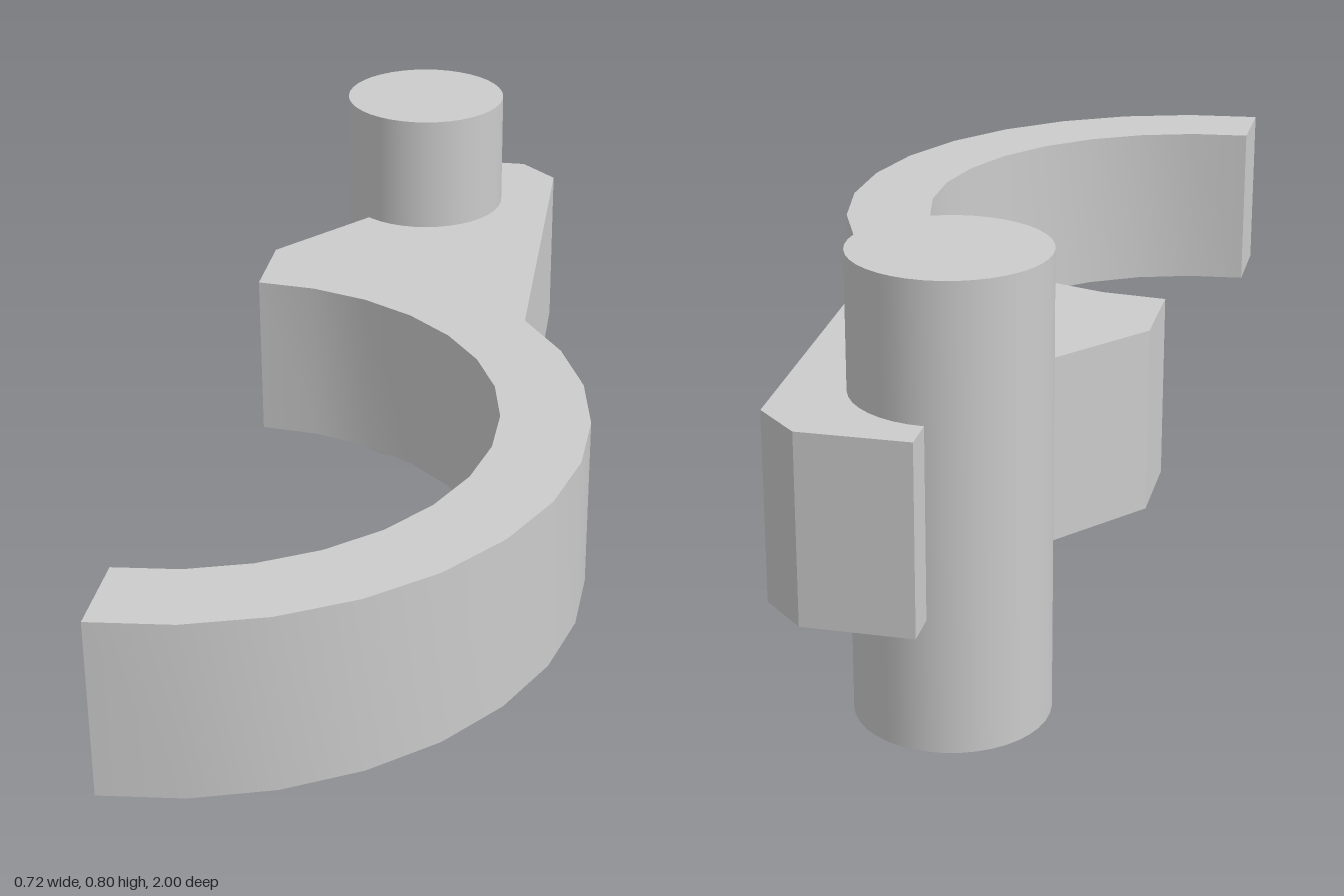
import * as THREE from 'three';
import { toCreasedNormals } from 'three/addons/utils/BufferGeometryUtils.js';

export function createModel() {
  const group = new THREE.Group();
  const material = new THREE.MeshStandardMaterial({ color: 0xcccccc });
  const add = (name, geometry) => {
    const mesh = new THREE.Mesh(geometry, material);
    mesh.name = name;
    group.add(mesh);
    return mesh;
  };

  // Points along an arc of the hook; angles in degrees, 90 points to the back
  const cx = -0.358, cz = 0.28;
  const arc = (radius, from, to, segments) =>
    Array.from({ length: segments + 1 }, (_, i) => {
      const a = THREE.MathUtils.degToRad(from + ((to - from) * i) / segments);
      return new THREE.Vector2(cx + radius * Math.cos(a), -cz + radius * Math.sin(a));
    });

  // Pin position, where the arm's notch has its corner
  const pinX = -0.094, pinZ = -0.77;

  // Half-ring hook and arm as one outline, drawn in plan (shape y = -z)
  const outline = [
    ...arc(0.718, -90, 40, 11),
    new THREE.Vector2(0.17, 0.928),
    new THREE.Vector2(0.095, 1),
    new THREE.Vector2(pinX, 1),
    new THREE.Vector2(pinX, -pinZ),
    new THREE.Vector2(cx, 0.44),
    ...arc(0.555, 90, -90, 15),
  ];
  const plate = new THREE.ExtrudeGeometry(new THREE.Shape(outline), { depth: 0.33, bevelEnabled: false });
  plate.rotateX(-Math.PI / 2);
  add('hookArm', toCreasedNormals(plate, 0.4)).position.y = 0.235;

  // Upright pivot pin through the end of the arm
  add('pivotPin', new THREE.CylinderGeometry(0.165, 0.165, 0.8, 40)).position.set(pinX, 0.4, pinZ);

  return group;
}
